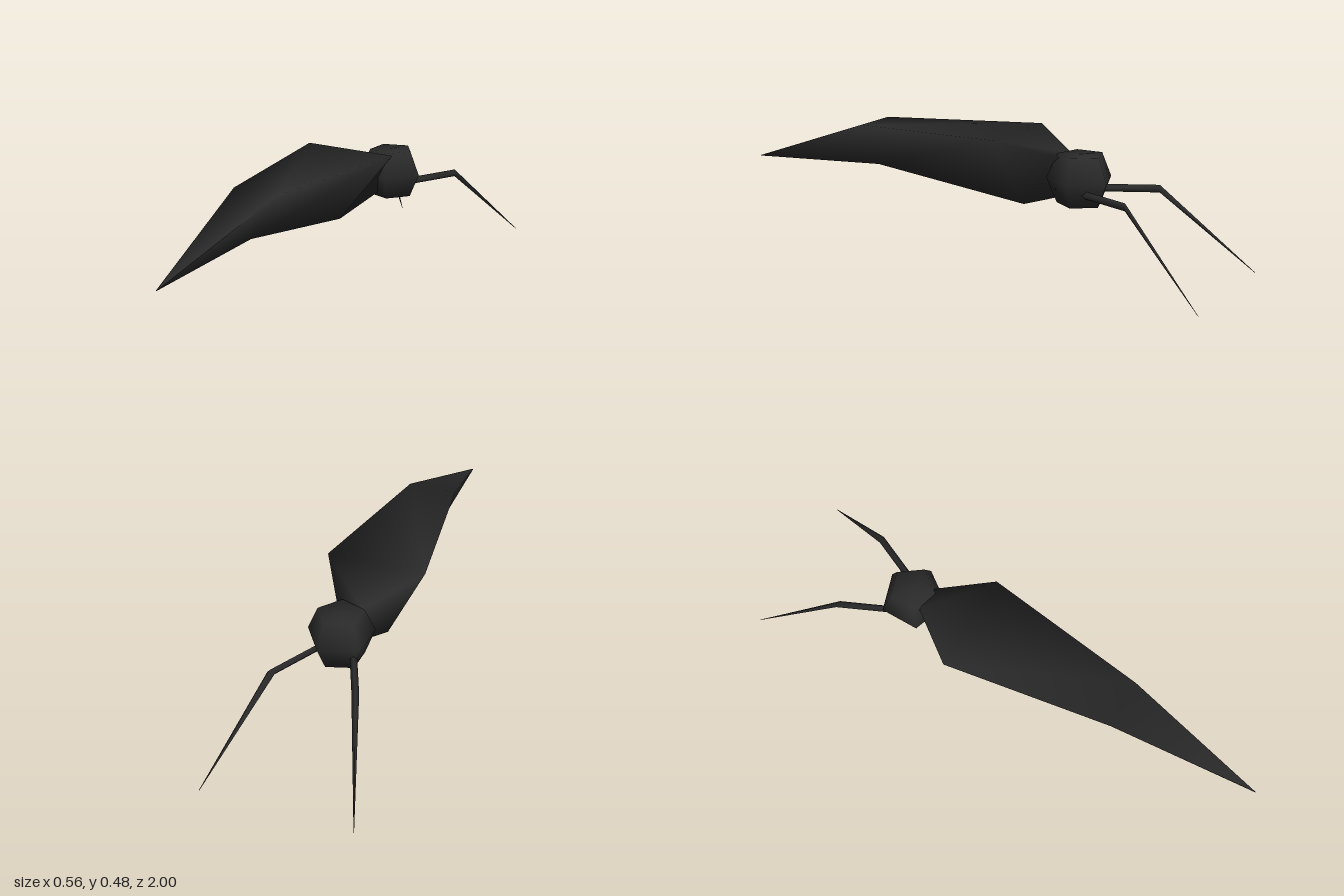
import * as THREE from 'three';

// Skin a list of equal-sized rings (anticlockwise seen from +z), ordered from back to front.
function loft(rings) {
  const n = rings[0].length;
  const last = (rings.length - 1) * n;
  const index = [];
  for (let i = 0; i < rings.length - 1; i++) {
    for (let j = 0; j < n; j++) {
      const a = i * n + j, b = i * n + (j + 1) % n;
      index.push(a, b, a + n, b, b + n, a + n);
    }
  }
  // End caps
  for (let j = 1; j < n - 1; j++) {
    index.push(0, j + 1, j, last, last + j, last + j + 1);
  }
  const geometry = new THREE.BufferGeometry();
  geometry.setAttribute('position', new THREE.Float32BufferAttribute(rings.flat(2), 3));
  geometry.setIndex(index);
  geometry.computeVertexNormals();
  return geometry;
}

// Square ring around a point, lying in the xy plane
function ring([x, y, z], r) {
  return [0, 1, 2, 3].map((k) => [
    x + r * Math.cos(k * Math.PI / 2), y + r * Math.sin(k * Math.PI / 2), z,
  ]);
}

export function createModel() {
  const group = new THREE.Group();
  const black = new THREE.MeshStandardMaterial({ color: 0x2a2a2a });
  black.name = 'charcoal black';

  function add(name, geometry) {
    const mesh = new THREE.Mesh(geometry, black);
    mesh.name = name;
    group.add(mesh);
    return mesh;
  }

  // Long three-sided body, tapering to a point at the front
  const triangle = (z, left, right, top, keelX, keelY) =>
    [[left, top, z], [keelX, keelY, z], [right, top, z]];
  add('body', loft([
    triangle(-0.37, -0.055, 0.04, 0.415, -0.02, 0.265),
    triangle(-0.17, -0.21, 0.16, 0.478, -0.07, 0.196),
    triangle(0.45, -0.105, 0.08, 0.46, -0.035, 0.285),
    triangle(1, -0.001, 0.001, 0.267, 0, 0.265),
  ]));

  // Five-sided faceted head
  const profile = [[0, -0.09], [0.085, -0.09], [0.124, 0], [0.085, 0.09], [0, 0.09]]
    .map(([r, y]) => new THREE.Vector2(r, y));
  add('head', new THREE.LatheGeometry(profile, 5, Math.PI / 2))
    .position.set(0, 0.338, -0.435);

  // Pair of bent, pointed feelers
  for (const side of [1, -1]) {
    add(side > 0 ? 'leftFeeler' : 'rightFeeler', loft([
      ring([0.279 * side, 0.001, -1], 0.001),
      ring([0.153 * side, 0.299, -0.675], 0.014),
      ring([0.06 * side, 0.298, -0.47], 0.014),
    ]));
  }

  return group;
}
